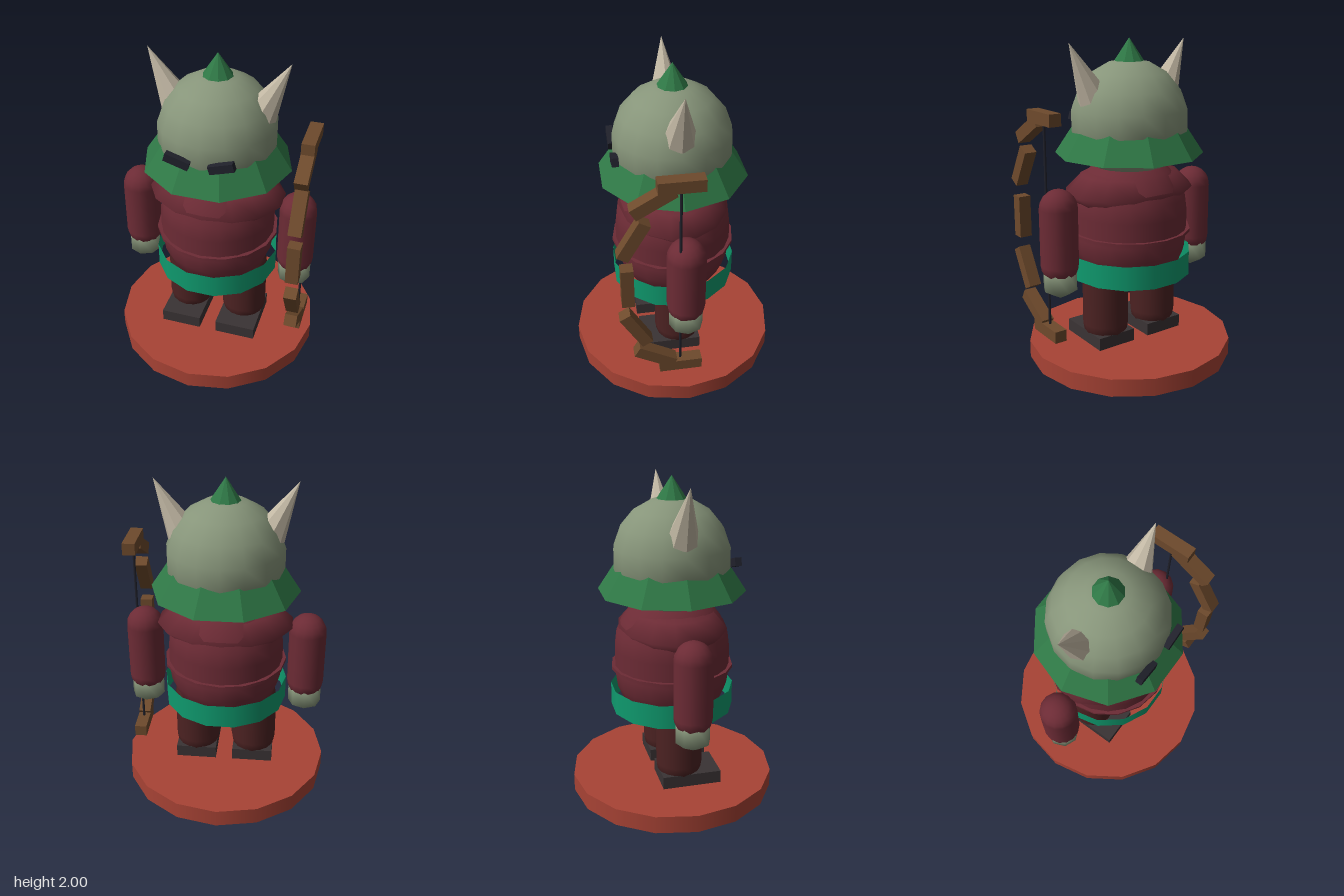
import * as THREE from 'three';

const mat = (name, color) => {
  const m = new THREE.MeshStandardMaterial({ color });
  m.name = name;
  return m;
};

export function createModel() {
  const model = new THREE.Group();
  model.name = 'hornedArcher';

  const clay = mat('clay red', 0xa84335);
  const skin = mat('grey green skin', 0x87957a);
  const green = mat('hat green', 0x2f7846);
  const horn = mat('horn', 0xc2b8a4);
  const robe = mat('robe maroon', 0x6c2b35);
  const trouser = mat('trouser brown', 0x4c2222);
  const shoe = mat('shoe grey', 0x3a3334);
  const teal = mat('belt teal', 0x0f9a6e);
  const dark = mat('dark', 0x20212b);
  const wood = mat('bow wood', 0x6e4a2c);
  teal.side = THREE.DoubleSide;
  green.flatShading = true;
  horn.flatShading = true;

  const add = (name, geometry, material, x = 0, y = 0, z = 0, parent = model) => {
    const mesh = new THREE.Mesh(geometry, material);
    mesh.name = name;
    mesh.position.set(x, y, z);
    parent.add(mesh);
    return mesh;
  };

  // Round base
  add('base', new THREE.CylinderGeometry(0.65, 0.65, 0.11, 16), clay, 0, 0.055);

  // Torso, seam and open belt
  add('torso', new THREE.CapsuleGeometry(0.36, 0.15, 6, 20), robe, 0, 0.875);
  add('seam', new THREE.CylinderGeometry(0.383, 0.383, 0.02, 16), robe, 0, 0.83);
  const belt = new THREE.CylinderGeometry(0.387, 0.387, 0.15, 14, 1, true);
  add('belt', belt.rotateY(Math.PI / 2), teal, 0, 0.625);

  // Padded collar, narrower front to back
  const collarProfile = [[0.2, 1.0], [0.32, 1.0], [0.425, 1.09], [0.32, 1.19], [0.2, 1.215]]
    .map(([r, y]) => new THREE.Vector2(r, y));
  add('collar', new THREE.LatheGeometry(collarProfile, 14), robe).scale.z = 0.79;

  // Head pushing through a pointed hat
  add('head', new THREE.SphereGeometry(0.36, 16, 9), skin, 0, 1.52);
  const hat = new THREE.ConeGeometry(0.455, 0.69, 10);
  add('hat', hat.rotateY(Math.PI / 2), green, 0, 1.655);

  // Paired parts
  for (const [side, s] of [['left', 1], ['right', -1]]) {
    add(side + 'Foot', new THREE.BoxGeometry(0.26, 0.08, 0.37), shoe, s * 0.185, 0.15, 0.055);
    add(side + 'Leg', new THREE.CapsuleGeometry(0.145, 0.31, 5, 16), trouser, s * 0.185, 0.395);
    add(side + 'Arm', new THREE.CapsuleGeometry(0.115, 0.35, 5, 14), robe, s * 0.51, 0.862);
    add(side + 'Hand', new THREE.SphereGeometry(0.12, 8, 3), skin, s * 0.51, 0.59);
    const brow = add(side + 'Brow', new THREE.BoxGeometry(0.15, 0.05, 0.04), dark, s * 0.13, 1.488, 0.355);
    brow.rotation.z = s * 0.3;
    // Horn geometry is anchored at its tip
    const cone = new THREE.ConeGeometry(0.1, 0.36, 8).translate(0, -0.18, 0);
    add(side + 'Horn', cone, horn, s * 0.417, 1.985).rotation.z = -s * 0.47;
  }

  // Bow made of seven blocks on an arc, with a string
  const bow = new THREE.Group();
  bow.name = 'bow';
  bow.position.set(0.565, 0.917, 0.043);
  model.add(bow);
  for (let i = -3; i <= 3; i++) {
    const a = i * Math.PI / 6;
    const block = add('bowBlock', new THREE.BoxGeometry(0.077, 0.26, 0.073), wood,
      0, 0.655 * Math.sin(a), 0.307 * Math.cos(a), bow);
    block.rotation.x = -a;
  }
  add('bowString', new THREE.CylinderGeometry(0.008, 0.008, 1.3, 6), dark, 0, 0, 0, bow);

  return model;
}
